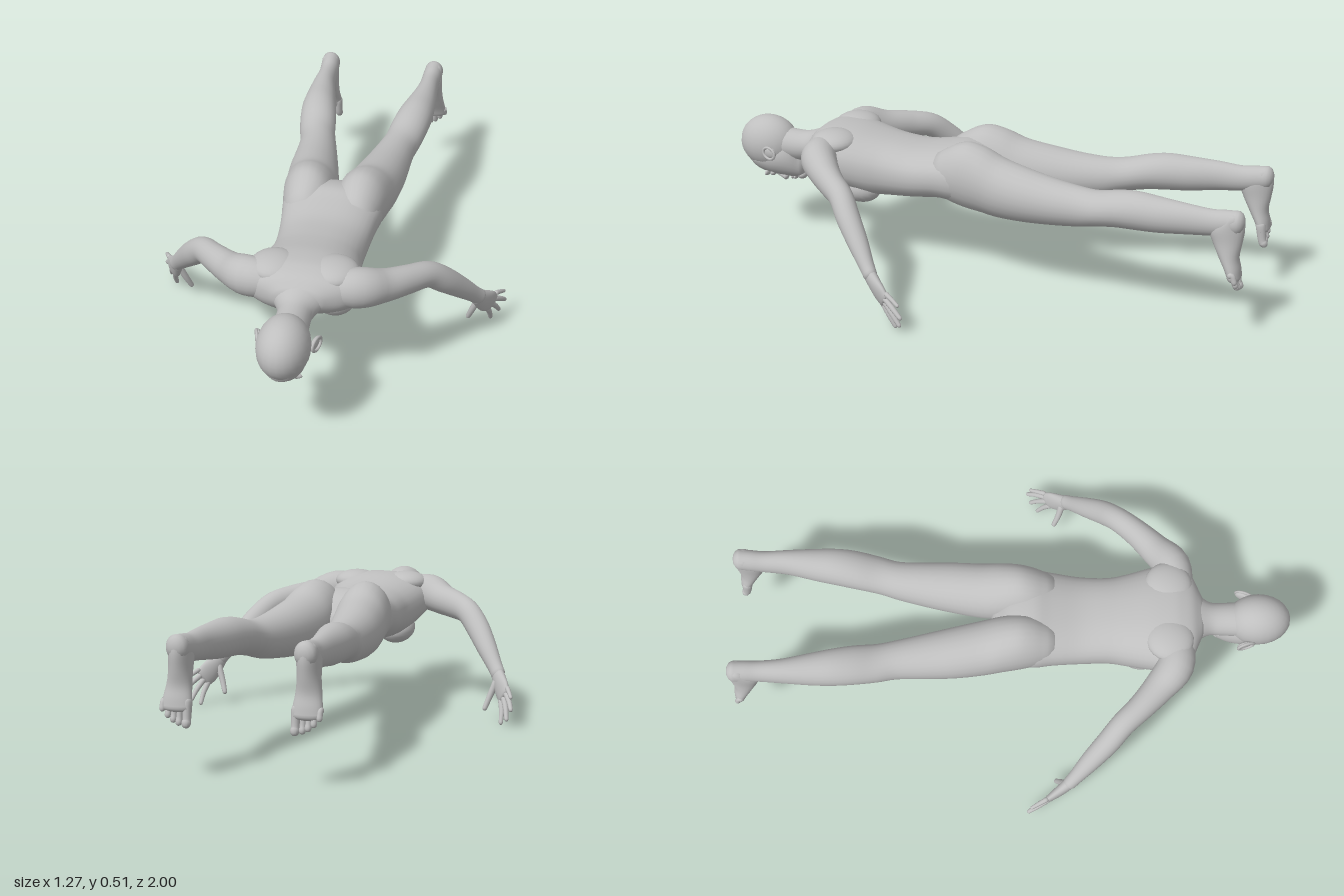
import * as THREE from 'three';

const V = (x, y, z) => new THREE.Vector3(x, y, z);
const skin = new THREE.MeshStandardMaterial({ color: 0xbfbfbf });
skin.name = 'plain grey';

// Smooth closed loft. Each section is [x, y, z, halfWidth, halfDepth].
// hint points along the depth axis; dir fixes the section normals if given.
function loft(name, sections, { side = 1, hint = V(0, 1, 0), dir = null, cap = 0.7, square = 1, seg = 24, steps = 4 } = {}) {
  const h = V(hint.x * side, hint.y, hint.z);
  const pts = sections.map(p => V(p[0] * side, p[1], p[2]));
  const curve = new THREE.CatmullRomCurve3(pts, false, 'catmullrom', 0.5);
  const radii = new THREE.CatmullRomCurve3(sections.map(p => V(p[3], p[4], 0)), false, 'catmullrom', 0.5);
  const n = (sections.length - 1) * steps;
  const rows = [];
  for (let i = 0; i <= n; i++) {
    const t = i / n;
    const r = radii.getPoint(t);
    rows.push({ c: curve.getPoint(t), d: dir ? dir.clone() : curve.getTangent(t), w: r.x, e: r.y });
  }
  // Rounded ends
  const end = (row, sgn, k, s) => ({
    c: row.c.clone().addScaledVector(row.d, sgn * cap * k * Math.min(row.w, row.e)), d: row.d, w: row.w * s, e: row.e * s });
  const first = rows[0], last = rows[n];
  const all = [end(first, -1, 0.9, 0.45), end(first, -1, 0.55, 0.82), ...rows, end(last, 1, 0.55, 0.82), end(last, 1, 0.9, 0.45)];
  const pos = [], idx = [];
  const bend = v => Math.sign(v) * Math.pow(Math.abs(v), square);
  for (const { c, d, w, e } of all) {
    const a = d.clone().cross(h).normalize();
    const b = d.clone().cross(a).normalize();
    for (let j = 0; j < seg; j++) {
      const u = j / seg * Math.PI * 2;
      const p = c.clone().addScaledVector(a, w * bend(Math.cos(u))).addScaledVector(b, e * bend(Math.sin(u)));
      pos.push(p.x, p.y, p.z);
    }
  }
  for (let i = 0; i < all.length - 1; i++) for (let j = 0; j < seg; j++) {
    const p = i * seg + j, q = i * seg + (j + 1) % seg;
    idx.push(p, q, p + seg, q, q + seg, p + seg);
  }
  const tip0 = all.length * seg, top = (all.length - 1) * seg;
  for (const p of [end(first, -1, 1, 0).c, end(last, 1, 1, 0).c]) pos.push(p.x, p.y, p.z);
  for (let j = 0; j < seg; j++) {
    const k = (j + 1) % seg;
    idx.push(tip0, k, j, tip0 + 1, top + j, top + k);
  }
  const g = new THREE.BufferGeometry();
  g.setAttribute('position', new THREE.Float32BufferAttribute(pos, 3));
  g.setIndex(idx);
  g.computeVertexNormals();
  const m = new THREE.Mesh(g, skin);
  m.name = name;
  return m;
}

function ball(name, [x, y, z], [rx, ry, rz], rot = [0, 0, 0]) {
  const m = new THREE.Mesh(new THREE.SphereGeometry(1, 24, 16), skin);
  m.position.set(x, y, z);
  m.scale.set(rx, ry, rz);
  m.rotation.set(...rot);
  m.name = name;
  return m;
}

// Section across z given its bottom, top and side limits
const slice = (z, y0, y1, x0, x1) => [(x0 + x1) / 2, (y0 + y1) / 2, z, (x1 - x0) / 2, (y1 - y0) / 2];
const back = V(0, 0, -1);

function makeHead() {
  const head = new THREE.Group();
  head.name = 'head';
  head.add(ball('cranium', [0, 0.373, 0.886], [0.088, 0.103, 0.114]));
  head.add(loft('face', [
    [0.955, 0.283, 0.40, 0.05], [0.92, 0.262, 0.40, 0.068], [0.87, 0.25, 0.40, 0.073], [0.82, 0.247, 0.41, 0.072],
    [0.78, 0.245, 0.40, 0.06], [0.75, 0.248, 0.35, 0.04],
  ].map(([z, a, b, w]) => slice(z, a, b, -w, w)), { dir: back, cap: 0.4 }));
  head.add(loft('nose', [[0, 0.254, 0.872, 0.008, 0.008], [0, 0.245, 0.845, 0.011, 0.012], [0, 0.238, 0.824, 0.017, 0.014]], { dir: back }));
  for (const y of [0.789, 0.778]) head.add(ball('lip', [0, 0.246, y], [0.025, 0.01, 0.007]));
  head.add(ball('chin', [0, 0.258, 0.752], [0.027, 0.018, 0.019]));
  for (const s of [-1, 1]) {
    head.add(ball('eye', [s * 0.032, 0.26, 0.861], [0.017, 0.012, 0.011]));
    head.add(ball('brow', [s * 0.033, 0.259, 0.882], [0.026, 0.012, 0.008]));
    head.add(ball('ear', [s * 0.091, 0.362, 0.838], [0.009, 0.021, 0.031], [0.25, -s * 0.3, 0]));
    const rim = new THREE.Mesh(new THREE.TorusGeometry(0.022, 0.005, 8, 20), skin);
    rim.name = 'earRim';
    rim.position.set(s * 0.098, 0.362, 0.84);
    rim.rotation.y = Math.PI / 2 - s * 0.3;
    rim.scale.x = 1.3;
    head.add(rim);
  }
  return head;
}

function makeArm(side) {
  const arm = new THREE.Group();
  arm.name = side > 0 ? 'leftArm' : 'rightArm';
  arm.add(loft('armLength', [
    [0.10, 0.415, 0.59, 0.06, 0.06], [0.19, 0.415, 0.58, 0.066, 0.07], [0.26, 0.396, 0.525, 0.056, 0.058],
    [0.33, 0.385, 0.46, 0.047, 0.052], [0.39, 0.37, 0.395, 0.043, 0.046], [0.44, 0.32, 0.345, 0.042, 0.045],
    [0.49, 0.255, 0.285, 0.036, 0.038], [0.53, 0.2, 0.237, 0.027, 0.03], [0.55, 0.172, 0.212, 0.024, 0.029],
  ], { side, hint: V(0.3, 1, -0.1) }));
  // Hand: depth axis runs across the knuckles
  const across = V(0.03, 0.06, -0.025);
  arm.add(loft('palm', [
    [0.543, 0.18, 0.222, 0.022, 0.027], [0.56, 0.15, 0.193, 0.02, 0.036],
    [0.575, 0.125, 0.166, 0.017, 0.042], [0.588, 0.105, 0.142, 0.013, 0.038],
  ], { side, hint: across, cap: 0.6 }));
  const fingers = {
    thumb: [[0.545, 0.145, 0.195], [0.526, 0.095, 0.183], [0.511, 0.052, 0.168]],
    indexFinger: [[0.575, 0.085, 0.152], [0.583, 0.05, 0.128], [0.585, 0.015, 0.106]],
    middleFinger: [[0.587, 0.1, 0.142], [0.602, 0.066, 0.108], [0.611, 0.034, 0.08]],
    ringFinger: [[0.597, 0.117, 0.135], [0.617, 0.093, 0.097], [0.629, 0.072, 0.068]],
    littleFinger: [[0.603, 0.138, 0.128], [0.616, 0.126, 0.1], [0.626, 0.115, 0.078]],
  };
  for (const [name, path] of Object.entries(fingers)) {
    const r = name === 'littleFinger' ? 0.009 : name === 'thumb' ? 0.013 : 0.011;
    arm.add(loft(name, path.map((p, i) => [...p, r * (1 - i * 0.15), r * (1 - i * 0.15)]), { side, hint: across, seg: 12, cap: 1 }));
  }
  return arm;
}

function makeLeg(side) {
  const leg = new THREE.Group();
  leg.name = side > 0 ? 'leftLeg' : 'rightLeg';
  // Buttock, thigh, knee, calf and heel
  leg.add(loft('legLength', [
    [0.13, 0.30, 0.48, 0.02, 0.165], [0.08, 0.285, 0.508, 0.005, 0.18], [0.03, 0.275, 0.52, 0.002, 0.19],
    [-0.03, 0.27, 0.508, 0.004, 0.198], [-0.1, 0.265, 0.48, 0.012, 0.206], [-0.2, 0.27, 0.46, 0.032, 0.215],
    [-0.3, 0.28, 0.445, 0.055, 0.217], [-0.4, 0.295, 0.437, 0.08, 0.22], [-0.47, 0.315, 0.44, 0.098, 0.236],
    [-0.55, 0.33, 0.459, 0.11, 0.25], [-0.62, 0.335, 0.468, 0.123, 0.256], [-0.7, 0.34, 0.465, 0.14, 0.255],
    [-0.8, 0.353, 0.46, 0.163, 0.249], [-0.88, 0.362, 0.455, 0.171, 0.244], [-0.93, 0.37, 0.46, 0.173, 0.246],
    [-0.975, 0.38, 0.464, 0.176, 0.248],
  ].map(([z, y0, y1, x0, x1]) => slice(z, y0, y1, x0, x1)), { side, dir: back, cap: 0.6 }));
  // Foot hangs down with the sole facing backwards
  leg.add(loft('foot', [
    [0.44, -0.925, -0.993, 0.212, 0.033], [0.40, -0.875, -0.998, 0.212, 0.037], [0.35, -0.89, -0.992, 0.213, 0.037],
    [0.30, -0.915, -0.985, 0.215, 0.042], [0.26, -0.937, -0.992, 0.216, 0.048], [0.23, -0.95, -0.996, 0.216, 0.05],
  ].map(([y, z0, z1, x, w]) => [x, y, (z0 + z1) / 2, w, (z0 - z1) / 2]), { side, dir: V(0, -1, 0), hint: V(0, 0, 1), cap: 0.6 }));
  for (let i = 0; i < 5; i++) {
    const r = i === 0 ? 0.015 : 0.0115 - i * 0.0004;
    const x = i === 0 ? 0.18 : 0.186 + i * 0.0185, tip = 0.168 + (i ? 0.004 : 0) + i * i * 0.0028;
    leg.add(loft('toe', [[x, 0.25, -0.968, r, r * 1.2], [x, tip + 0.03, -0.976, r * 0.9, r], [x, tip + r, -0.983, r, r]],
      { side, hint: V(0, 0, 1), seg: 12, cap: 1 }));
  }
  return leg;
}

export function createModel() {
  const body = new THREE.Group();
  body.name = 'proneFigure';
  body.add(makeHead());
  body.add(loft('neck', [
    [0, 0.375, 0.82, 0.062, 0.06], [0, 0.375, 0.75, 0.058, 0.058], [0, 0.382, 0.71, 0.06, 0.056],
    [0, 0.395, 0.67, 0.085, 0.058], [0, 0.405, 0.62, 0.13, 0.07],
  ], { dir: back }));
  body.add(loft('torso', [
    [0.675, 0.36, 0.45, 0.09], [0.645, 0.335, 0.475, 0.155], [0.61, 0.315, 0.488, 0.19], [0.57, 0.295, 0.494, 0.2],
    [0.5, 0.268, 0.49, 0.187], [0.42, 0.252, 0.475, 0.169], [0.35, 0.255, 0.464, 0.157], [0.25, 0.265, 0.457, 0.16],
    [0.15, 0.28, 0.472, 0.171], [0.08, 0.277, 0.485, 0.18], [0, 0.272, 0.462, 0.165], [-0.05, 0.28, 0.41, 0.11],
  ].map(([z, y0, y1, w]) => slice(z, y0, y1, -w, w)), { dir: back, cap: 0.3, square: 0.88, seg: 32 }));
  for (const s of [-1, 1]) {
    body.add(ball('chestMuscle', [s * 0.088, 0.287, 0.475], [0.07, 0.055, 0.085], [-0.25, 0, 0]));
    body.add(ball('shoulderBlade', [s * 0.1, 0.455, 0.56], [0.085, 0.042, 0.085]));
    body.add(makeArm(s));
    body.add(makeLeg(s));
  }
  return body;
}
